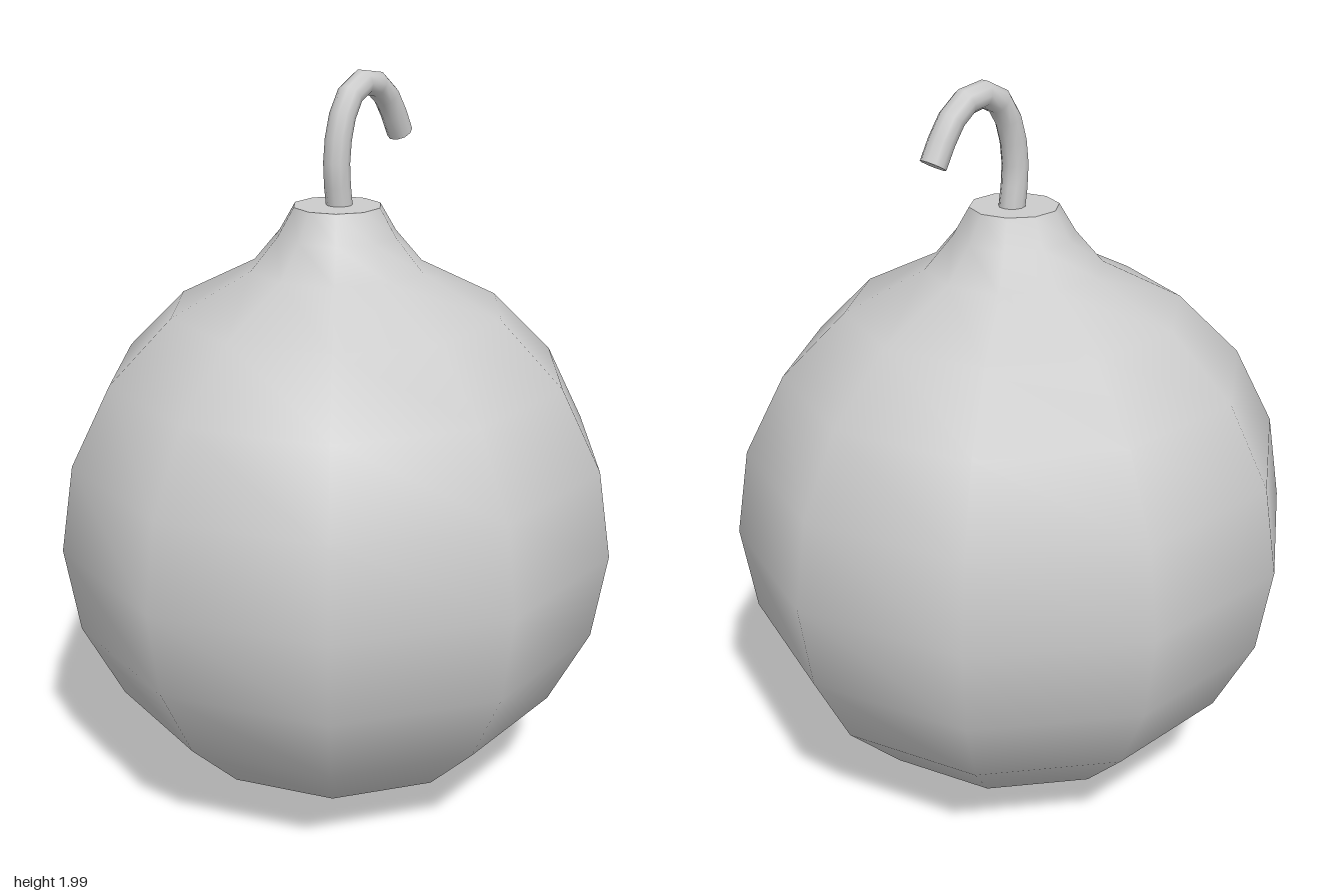
import * as THREE from 'three';

const SIDES = 10;

export function createModel() {
  const model = new THREE.Group();
  const material = new THREE.MeshStandardMaterial({ color: 0xcccccc });
  const add = (name, geometry, parent = model) => {
    const mesh = new THREE.Mesh(geometry, material);
    mesh.name = name;
    parent.add(mesh);
    return mesh;
  };

  // Ten-sided round body, from the bottom pole up, flaring into a neck
  const radius = 0.765, centreY = 0.77;
  const profile = [];
  for (let i = 0; i < 10; i++) {
    const a = (i * Math.PI) / 10;
    profile.push(new THREE.Vector2(radius * Math.sin(a), centreY - radius * Math.cos(a)));
  }
  profile[0].x = 0;
  profile.push(new THREE.Vector2(0.162, 1.585), new THREE.Vector2(0.118, 1.66));
  const body = new THREE.LatheGeometry(profile, SIDES);
  body.rotateY(Math.PI / 2); // corners on the x axis
  add('body', body);

  // Flat top of the neck
  const lid = new THREE.CircleGeometry(0.118, SIDES);
  lid.rotateX(-Math.PI / 2);
  add('neckTop', lid).position.y = 1.66;

  // Curved hook rising from the neck
  const hook = new THREE.Group();
  hook.name = 'hook';
  model.add(hook);
  const path = new THREE.CatmullRomCurve3(
    [[0.01, 1.65], [-0.003, 1.76], [0.015, 1.87], [0.055, 1.938], [0.12, 1.965],
      [0.183, 1.945], [0.228, 1.9], [0.277, 1.815]].map(([x, y]) => new THREE.Vector3(x, y, 0))
  );
  const wire = 0.035;
  add('hookRod', new THREE.TubeGeometry(path, 10, wire, 10, false), hook);

  // Closed end of the hook
  const tip = add('hookTip', new THREE.CircleGeometry(wire, 10), hook);
  tip.position.copy(path.getPoint(1));
  tip.quaternion.setFromUnitVectors(new THREE.Vector3(0, 0, 1), path.getTangent(1));

  return model;
}
